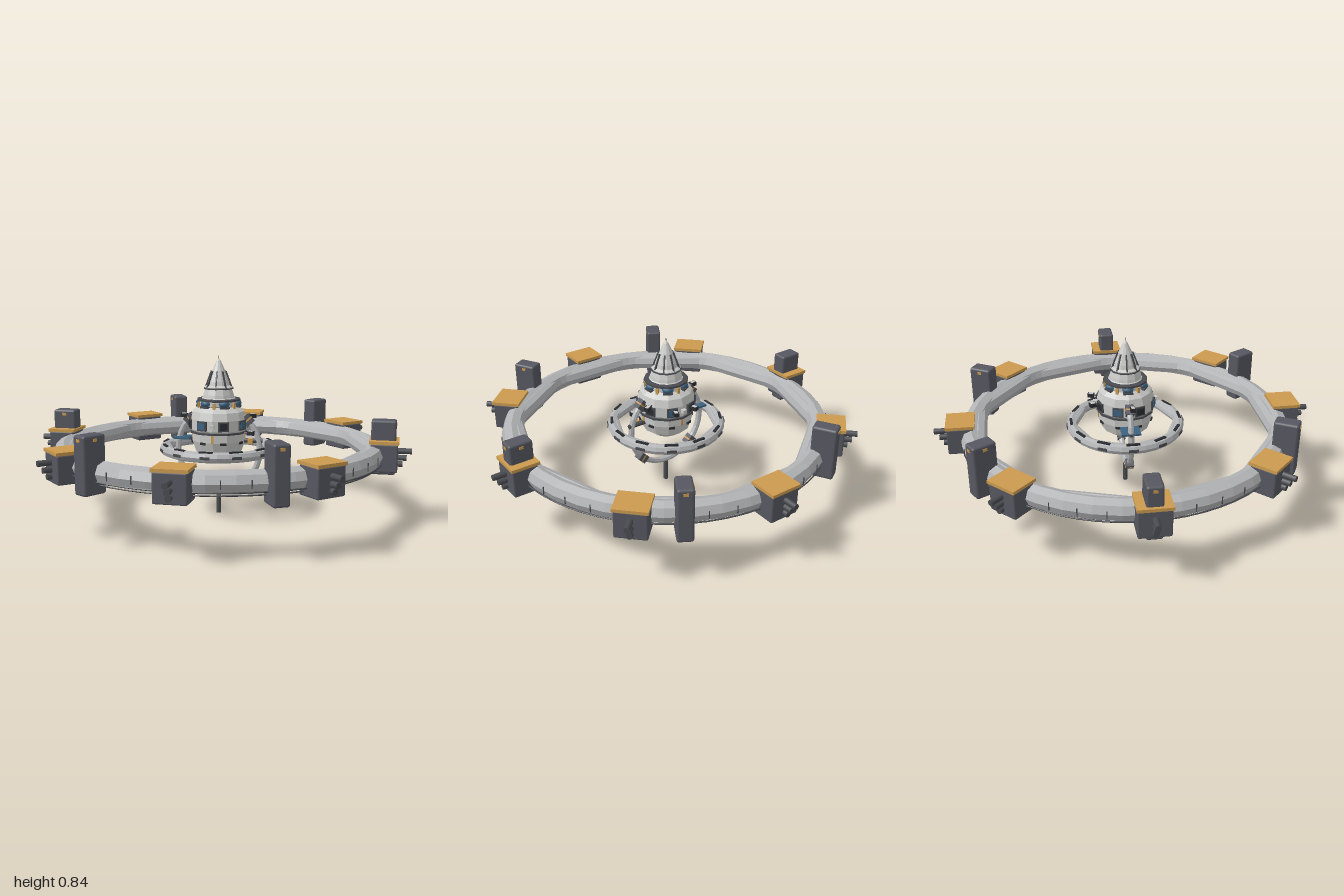
import * as THREE from 'three';
import { RoundedBoxGeometry } from 'three/addons/geometries/RoundedBoxGeometry.js';

const mat = (name, color) => {
  const m = new THREE.MeshStandardMaterial({ color });
  m.name = name;
  return m;
};

export function createModel() {
  const M = {
    ring: mat('ring grey', 0xb2b3b5),
    hull: mat('hull white', 0xc8c8c6),
    dark: mat('module slate', 0x565760),
    rod: mat('rod charcoal', 0x4a4b50),
    black: mat('recess black', 0x2b2c31),
    gold: mat('plate gold', 0xcb9a4e),
    blue: mat('glass blue', 0x3c627f),
  };
  const root = new THREE.Group();
  root.name = 'ringStation';
  const MID = 0.355;

  // Helpers
  const flat = (g) => {
    const f = g.index ? g.toNonIndexed() : g;
    f.computeVertexNormals();
    return f;
  };
  const add = (parent, name, geo, material, x = 0, y = 0, z = 0, rx = 0, ry = 0, rz = 0) => {
    const m = new THREE.Mesh(geo, material);
    m.name = name;
    m.position.set(x, y, z);
    m.rotation.set(rx, ry, rz);
    parent.add(m);
    return m;
  };
  const box = (w, h, d) => new THREE.BoxGeometry(w, h, d);
  const cyl = (r, h, n = 10, r2 = r) => new THREE.CylinderGeometry(r2, r, h, n);
  const hoop = (R, t, sides, segs) => flat(new THREE.TorusGeometry(R, t, sides, segs).rotateX(Math.PI / 2));
  // Calls build(spoke, i) n times; local +z of each spoke points outward
  const around = (n, name, build, start = 0, parent = root) => {
    for (let i = 0; i < n; i++) {
      const g = new THREE.Group();
      g.name = name;
      g.rotation.y = start + (i * Math.PI * 2) / n;
      build(g, i);
      parent.add(g);
    }
  };

  // Great ring: round outer tube, ten-sided inner tube, cables underneath
  add(root, 'outerRing', hoop(0.81, 0.055, 8, 40), M.ring, 0, MID, 0);
  add(root, 'innerRing', hoop(0.81, 0.045, 8, 10), M.ring, 0, MID, 0);
  for (const [r, y] of [[0.858, 0.318], [0.835, 0.3]])
    add(root, 'ringCable', hoop(r, 0.004, 5, 64), M.rod, 0, y, 0);
  around(40, 'ringSeam', (g) => {
    add(g, 'seam', box(0.004, 0.04, 0.004), M.rod, 0, MID, 0.863);
  }, Math.PI / 40);

  // Eight docking modules with gold roof plates and stepped rods
  around(8, 'dockingModule', (g) => {
    add(g, 'moduleBody', new RoundedBoxGeometry(0.158, 0.142, 0.134, 1, 0.008), M.dark, 0, 0.348, 0.864);
    add(g, 'roofPlate', box(0.167, 0.016, 0.148), M.gold, 0, 0.426, 0.862);
    [[0.377, 1.0], [0.342, 0.975], [0.31, 0.955]].forEach(([y, end]) =>
      add(g, 'dockingRod', cyl(0.015, end - 0.9), M.rod, 0, y, (end + 0.9) / 2, Math.PI / 2));
  });

  // Six tall modules with small lamps
  around(6, 'tallModule', (g) => {
    add(g, 'towerBody', new RoundedBoxGeometry(0.08, 0.278, 0.125, 2, 0.012), M.dark, 0, 0.396, 0.858);
    add(g, 'outerLamp', box(0.022, 0.014, 0.005), M.gold, 0, 0.512, 0.921);
    add(g, 'sideLamp', box(0.005, 0.014, 0.022), M.gold, 0.041, 0.512, 0.858);
  }, Math.PI / 2);

  // Small level ring with dark slots
  add(root, 'hubRing', hoop(0.284, 0.028, 8, 32), M.ring, 0, MID, 0);
  add(root, 'hubRingInner', hoop(0.283, 0.022, 8, 8), M.ring, 0, MID, 0);
  around(12, 'hubRingSlot', (g) => {
    add(g, 'topSlot', box(0.07, 0.008, 0.014), M.black, 0, MID + 0.026, 0.288);
    add(g, 'outerSlot', box(0.05, 0.014, 0.006), M.rod, 0, MID, 0.31);
  });

  // Upright ring with clamps and the mast below it
  add(root, 'uprightRing', flat(new THREE.TorusGeometry(0.222, 0.016, 8, 32)), M.ring, 0, MID - 0.005, 0);
  for (let i = 0; i < 4; i++) {
    const a = Math.PI / 4 + (i * Math.PI) / 2;
    const x = Math.cos(a) * 0.222, y = MID - 0.005 + Math.sin(a) * 0.222;
    add(root, 'ringClamp', box(0.044, 0.052, 0.042), M.dark, x, y, 0, 0, 0, a);
    add(root, 'clampStripe', box(0.046, 0.008, 0.044), M.gold, x, y, 0, 0, 0, a);
  }
  add(root, 'mast', cyl(0.013, 0.125), M.rod, 0, 0.0625, 0);

  // Central hull
  const lathe = (pts, n = 12) =>
    flat(new THREE.LatheGeometry(pts.map(([r, y]) => new THREE.Vector2(r, y)), n));
  add(root, 'mainHull', lathe([[0, 0.305], [0.07, 0.305], [0.125, 0.345], [0.143, 0.40], [0.143, 0.45],
    [0.15, 0.46], [0.15, 0.515], [0.138, 0.555], [0.105, 0.58], [0, 0.58]]), M.hull);
  add(root, 'hullBelt', lathe([[0.13, 0.442], [0.153, 0.442], [0.153, 0.452], [0.13, 0.452]]), M.rod);
  add(root, 'neck', lathe([[0.09, 0.575], [0.105, 0.585], [0.105, 0.61], [0.085, 0.625],
    [0.082, 0.64], [0.072, 0.67], [0.077, 0.68], [0.06, 0.69], [0, 0.69]]), M.hull);
  add(root, 'neckBand', lathe([[0.1, 0.607], [0.116, 0.609], [0.116, 0.619], [0.08, 0.622]]), M.rod);
  add(root, 'noseCone', lathe([[0.064, 0.675], [0.056, 0.71], [0.035, 0.765], [0.012, 0.815], [0, 0.83]]), M.hull);
  add(root, 'noseTip', cyl(0.004, 0.04, 6, 0.001), M.rod, 0, 0.824, 0);
  add(root, 'noseCollar', lathe([[0.06, 0.668], [0.08, 0.67], [0.08, 0.675], [0.06, 0.677]]), M.rod);
  add(root, 'bellyCap', cyl(0.045, 0.012, 8), M.ring, 0, 0.301, 0);

  // Slanted fins along the nose
  around(8, 'noseFin', (g) => {
    add(g, 'fin', box(0.007, 0.1, 0.012), M.rod, 0, 0.715, 0.054, -0.36);
  });

  // Blue domes around the neck
  around(6, 'neckDome', (g) => {
    add(g, 'dome', new THREE.SphereGeometry(0.03, 10, 6).scale(1, 0.65, 0.8), M.blue, 0, 0.598, 0.098);
    add(g, 'domeBase', box(0.05, 0.01, 0.03), M.rod, 0, 0.58, 0.102);
  }, Math.PI / 6);
  around(6, 'neckLamp', (g) => {
    add(g, 'lamp', box(0.014, 0.035, 0.012), M.gold, 0, 0.585, 0.108);
  });

  // Framed windows, vents and stripes around the hull
  around(8, 'hullWindow', (g, i) => {
    add(g, 'frame', box(0.056, 0.05, 0.014), M.rod, 0, 0.488, 0.147);
    add(g, 'pane', box(0.04, 0.034, 0.006), i % 2 ? M.blue : M.black, 0, 0.488, 0.155);
    add(g, 'vent', box(0.03, 0.012, 0.008), M.black, 0, 0.395, 0.141);
  }, Math.PI / 8);
  around(4, 'hullStripe', (g) => {
    add(g, 'stripe', box(0.012, 0.05, 0.006), M.gold, 0, 0.425, 0.142);
    add(g, 'pod', box(0.022, 0.02, 0.03), M.hull, 0, 0.49, 0.155);
  });

  // Side arms: blue panels on the right, dark boom with gold cuff on the left
  add(root, 'panelArm', box(0.1, 0.014, 0.02), M.rod, -0.185, 0.4, 0);
  for (const s of [-1, 1])
    add(root, 'bluePanel', box(0.085, 0.01, 0.038), M.blue, -0.192, 0.405, s * 0.03);
  add(root, 'boom', cyl(0.012, 0.1), M.rod, 0.185, 0.4, 0, 0, 0, Math.PI / 2);
  add(root, 'boomCuff', box(0.025, 0.028, 0.028), M.gold, 0.175, 0.4, 0.02);

  // Small aerials: a thin stalk with a pale framed plate
  for (const [a, y] of [[-1.5, 0.525], [1.35, 0.445], [2.8, 0.5], [-2.85, 0.5], [2.0, 0.52]]) {
    const g = new THREE.Group();
    g.name = 'aerial';
    g.rotation.y = a;
    add(g, 'stalk', cyl(0.004, 0.06, 6), M.rod, 0, y, 0.16, Math.PI / 2);
    add(g, 'aerialFrame', box(0.026, 0.02, 0.034), M.black, 0, y, 0.185);
    add(g, 'aerialPlate', box(0.018, 0.024, 0.024), M.hull, 0, y, 0.185);
    root.add(g);
  }
  return root;
}
